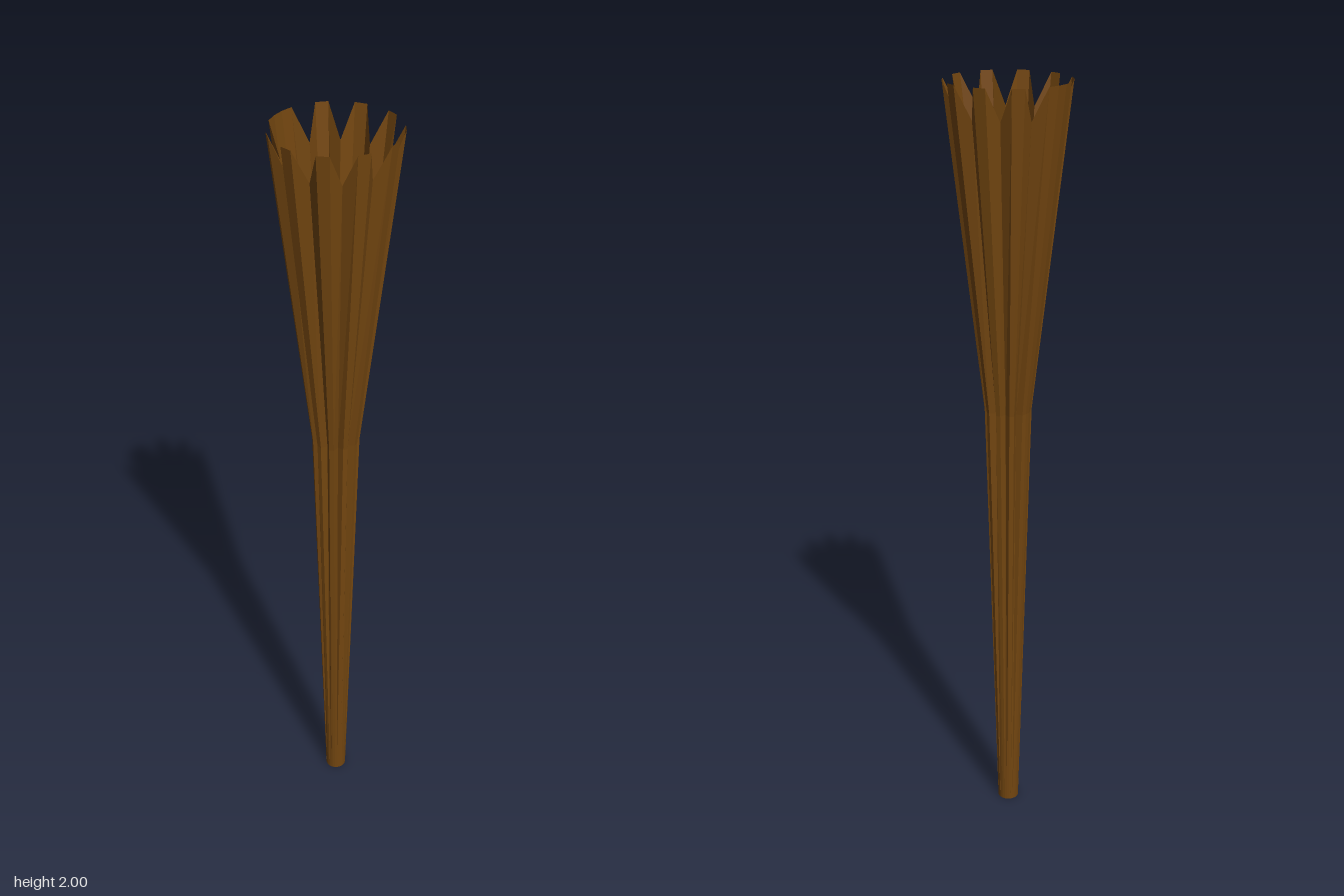
import * as THREE from 'three';

const SIDES = 32;
// Grooves every third edge, with one wider plain stretch on the -x side
const GROOVES = new Set([0, 3, 6, 9, 12, 17, 20, 23, 26, 29]);
// Ridge and groove radius / height at the foot, the bend and the rim
const RINGS = [
  { r: 0.028, y: 0, grooveR: 0.028, grooveY: 0 },
  { r: 0.06, y: 1.18, grooveR: 0.046, grooveY: 1.18 },
  { r: 0.155, y: 2, grooveR: 0.124, grooveY: 1.92 },
];

export function createModel() {
  const group = new THREE.Group();
  group.name = 'flutedHorn';
  const material = new THREE.MeshStandardMaterial({ color: 0x734610, flatShading: true, side: THREE.DoubleSide });

  // Flared, pleated shell, open at the top
  const positions = [], index = [];
  RINGS.forEach((ring, j) => {
    for (let i = 0; i < SIDES; i++) {
      const a = (i / SIDES) * Math.PI * 2;
      const groove = GROOVES.has(i);
      const r = groove ? ring.grooveR : ring.r;
      positions.push(r * Math.cos(a), groove ? ring.grooveY : ring.y, -r * Math.sin(a));
      if (j === 0) continue;
      const k = (i + 1) % SIDES;
      const low = (j - 1) * SIDES, high = j * SIDES;
      index.push(low + i, low + k, high + k, low + i, high + k, high + i);
    }
  });
  const geometry = new THREE.BufferGeometry();
  geometry.setAttribute('position', new THREE.Float32BufferAttribute(positions, 3));
  geometry.setIndex(index);
  geometry.computeVertexNormals();
  const shell = new THREE.Mesh(geometry, material);
  shell.name = 'flutedShell';
  group.add(shell);

  // Closed foot
  const foot = new THREE.Mesh(new THREE.CircleGeometry(RINGS[0].r, SIDES), material);
  foot.rotation.x = Math.PI / 2;
  foot.name = 'footCap';
  group.add(foot);

  return group;
}
